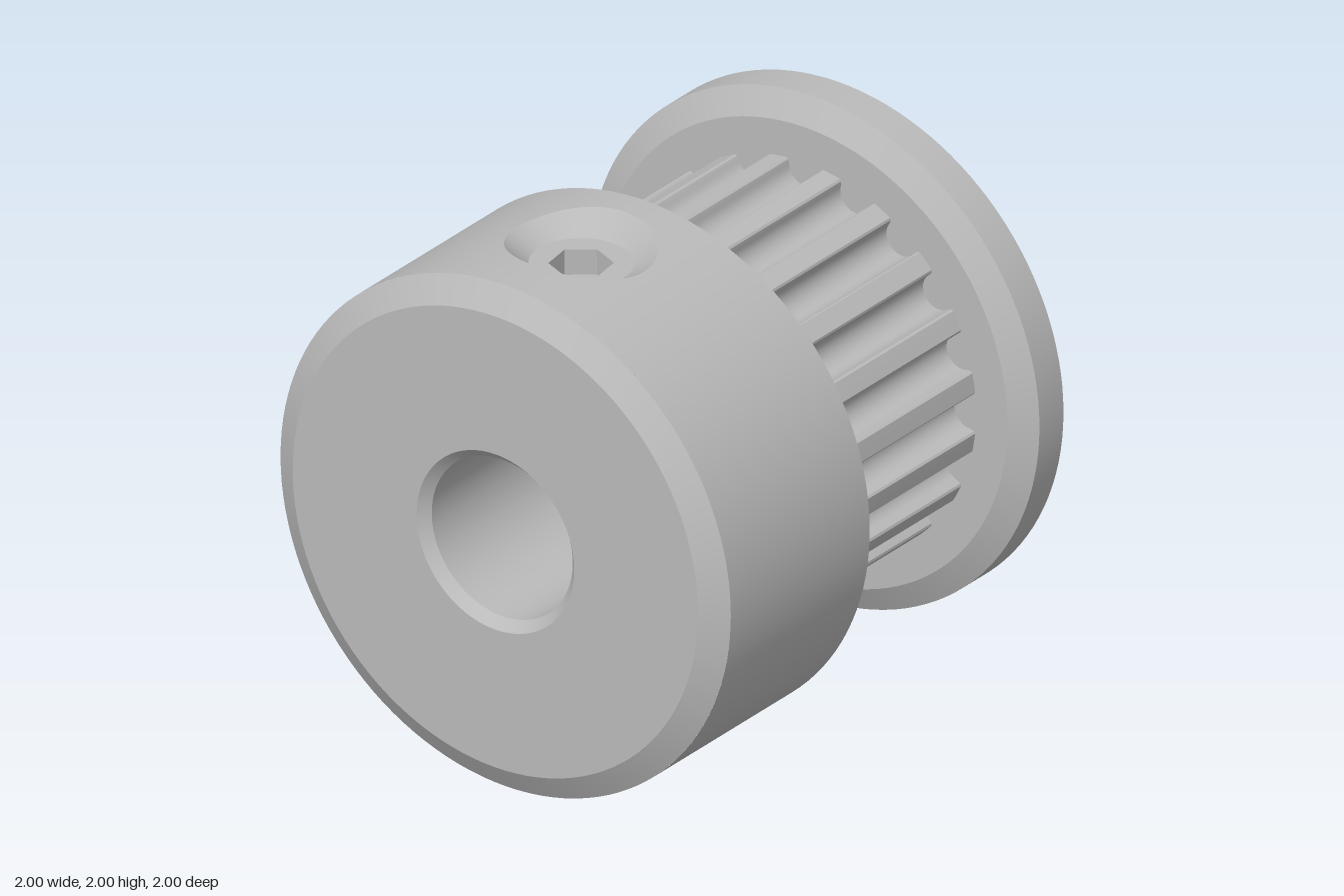
import * as THREE from 'three';
import { toCreasedNormals } from 'three/addons/utils/BufferGeometryUtils.js';

const AXIS_Y = 1;      // height of the pulley axis, which runs along x
const SEG = 120;
const HUB_A = -0.94, HUB_B = -0.13;   // ends of the plain hub cylinder
const HOLE_X = -0.5, PATCH = 0.45;    // screw position, half angle of the patch around it
const SCREW_R = 0.187, SCREW_Y = 0.905;

// Lathe around the x axis; profile points are [radius, x]
function turned(points, start = 0, length = Math.PI * 2) {
  const n = Math.ceil(SEG * length / (Math.PI * 2));
  const g = new THREE.LatheGeometry(points.map(p => new THREE.Vector2(p[0], p[1])), n, start, length);
  g.rotateZ(-Math.PI / 2);
  return toCreasedNormals(g, 0.4);
}

// Surface through closed rings of points, from the inner ring to the outer one
function loft(rings) {
  const n = rings[0].length, pos = [], idx = [];
  rings.forEach(ring => ring.forEach(p => pos.push(...p)));
  for (let j = 0; j < rings.length - 1; j++) {
    for (let i = 0; i < n; i++) {
      const a = j * n + i, c = j * n + (i + 1) % n, b = a + n, d = c + n;
      idx.push(a, c, b, c, d, b);
    }
  }
  const g = new THREE.BufferGeometry();
  g.setAttribute('position', new THREE.Float32BufferAttribute(pos, 3));
  g.setIndex(idx);
  g.computeVertexNormals();
  return g;
}

// Part of the hub cylinder with a round opening at its middle
function hubPatch(angles, rim) {
  const rings = [], M = 8;
  for (let j = 0; j <= M; j++) {
    rings.push(angles.map((t, i) => {
      const c = Math.cos(t), s = Math.sin(t), m = Math.max(Math.abs(c), Math.abs(s));
      const edgeX = (HUB_A + HUB_B) / 2 + (c / m) * (HUB_B - HUB_A) / 2;
      const x = THREE.MathUtils.lerp(rim[i][0], edgeX, j / M);
      const th = THREE.MathUtils.lerp(Math.asin(rim[i][2]), (s / m) * PATCH, j / M);
      return [x, Math.cos(th), Math.sin(th)];
    }));
  }
  const g = loft(rings), p = g.attributes.position;
  for (let i = 0; i < p.count; i++) g.attributes.normal.setXYZ(i, 0, p.getY(i), p.getZ(i));
  return g;
}

// Outline of the toothed barrel: twenty rounded grooves
function toothedShape() {
  const pts = [], R = 0.76, N = 20;
  const add = (mid, r, off) => {
    const a = mid + Math.atan2(off, r), q = Math.hypot(r, off);
    pts.push(new THREE.Vector2(q * Math.cos(a), q * Math.sin(a)));
  };
  for (let k = 0; k < N; k++) {
    const mid = k * Math.PI * 2 / N;
    add(mid, R - 0.004, -0.082);
    add(mid, 0.75, -0.074);
    for (let i = 0; i <= 12; i++) {
      const t = Math.PI * i / 12;
      add(mid, 0.735 - 0.07 * Math.sin(t), -0.07 * Math.cos(t));
    }
    add(mid, 0.75, 0.074);
    add(mid, R - 0.004, 0.082);
    const land = mid + Math.PI / N;
    pts.push(new THREE.Vector2(R * Math.cos(land), R * Math.sin(land)));
  }
  const shape = new THREE.Shape(pts);
  shape.holes.push(new THREE.Path().absarc(0, 0, 0.45, 0, Math.PI * 2, true));
  return shape;
}

export function createModel() {
  const model = new THREE.Group();
  model.name = 'timingPulley';
  const metal = new THREE.MeshStandardMaterial({ color: 0xbababa });
  metal.name = 'aluminiumGrey';

  const pulley = new THREE.Group();
  pulley.name = 'pulley';
  pulley.position.y = AXIS_Y;
  model.add(pulley);

  const add = (name, geometry, parent = pulley) => {
    const mesh = new THREE.Mesh(geometry, metal);
    mesh.name = name;
    parent.add(mesh);
    return mesh;
  };

  // Bore with chamfered ends, and the hub's outer end face
  add('boreAndHubFace', turned([
    [0.547, 0.98], [0.53, 1], [0.35, 1], [0.313, 0.96], [0.313, -0.96],
    [0.35, -1], [0.9, -1], [1, HUB_A]]));
  add('hubInnerFace', turned([[1, HUB_B], [0.9, -0.07], [0.45, -0.07]]));

  // Hub cylinder between the two screw patches
  const side = [[1, HUB_A], [1, HUB_B]];
  add('hubSide', turned(side, Math.PI * 1.5 + PATCH, Math.PI * 1.5 - 2 * PATCH));
  add('hubSideBetweenScrews', turned(side, Math.PI + PATCH, Math.PI / 2 - 2 * PATCH));

  // Toothed barrel
  const teeth = new THREE.ExtrudeGeometry(toothedShape(), { depth: 0.875, bevelEnabled: false, curveSegments: 48 });
  teeth.rotateY(Math.PI / 2);
  teeth.translate(-0.07, 0, 0);
  add('toothedBarrel', toCreasedNormals(teeth, 0.6));

  // End flange, with a fine groove around the barrel end
  add('flange', turned([
    [0.6, 0.805], [0.9, 0.805], [1, 0.86], [1, 1], [0.567, 1], [0.547, 0.98]]));

  // Countersunk opening, shared by both set screws
  const angles = Array.from({ length: 64 }, (_, i) => i * Math.PI * 2 / 64);
  const rim = angles.map(t => {
    const z = 0.28 * Math.sin(t);
    return [HOLE_X + 0.26 * Math.cos(t), Math.sqrt(1 - z * z), z];
  });
  const seat = angles.map(t => [HOLE_X + SCREW_R * Math.cos(t), SCREW_Y, SCREW_R * Math.sin(t)]);
  const patchGeo = hubPatch(angles, rim);
  const sinkGeo = loft([seat, rim]);

  // Set screw with a hexagonal socket
  const disc = new THREE.Shape().absarc(0, 0, SCREW_R, 0, Math.PI * 2, false);
  const hex = Array.from({ length: 6 }, (_, i) => {
    const a = 0.14 - i * Math.PI / 3;
    return new THREE.Vector2(0.116 * Math.cos(a), 0.116 * Math.sin(a));
  });
  disc.holes.push(new THREE.Path(hex));
  const screwGeo = new THREE.ExtrudeGeometry(disc, { depth: 0.1, bevelEnabled: false, curveSegments: 32 });
  screwGeo.rotateX(-Math.PI / 2);
  screwGeo.translate(HOLE_X, SCREW_Y - 0.1, 0);
  const floorGeo = new THREE.CircleGeometry(0.15, 24);
  floorGeo.rotateX(-Math.PI / 2);
  floorGeo.translate(HOLE_X, SCREW_Y - 0.1, 0);

  // One screw on top, one at the back
  [['topSetScrew', 0], ['backSetScrew', -Math.PI / 2]].forEach(([name, turn]) => {
    const group = new THREE.Group();
    group.name = name;
    group.rotation.x = turn;
    pulley.add(group);
    add('hubPatch', patchGeo, group);
    add('countersink', sinkGeo, group);
    add('screw', toCreasedNormals(screwGeo, 0.5), group);
    add('socketFloor', floorGeo, group);
  });

  return model;
}
